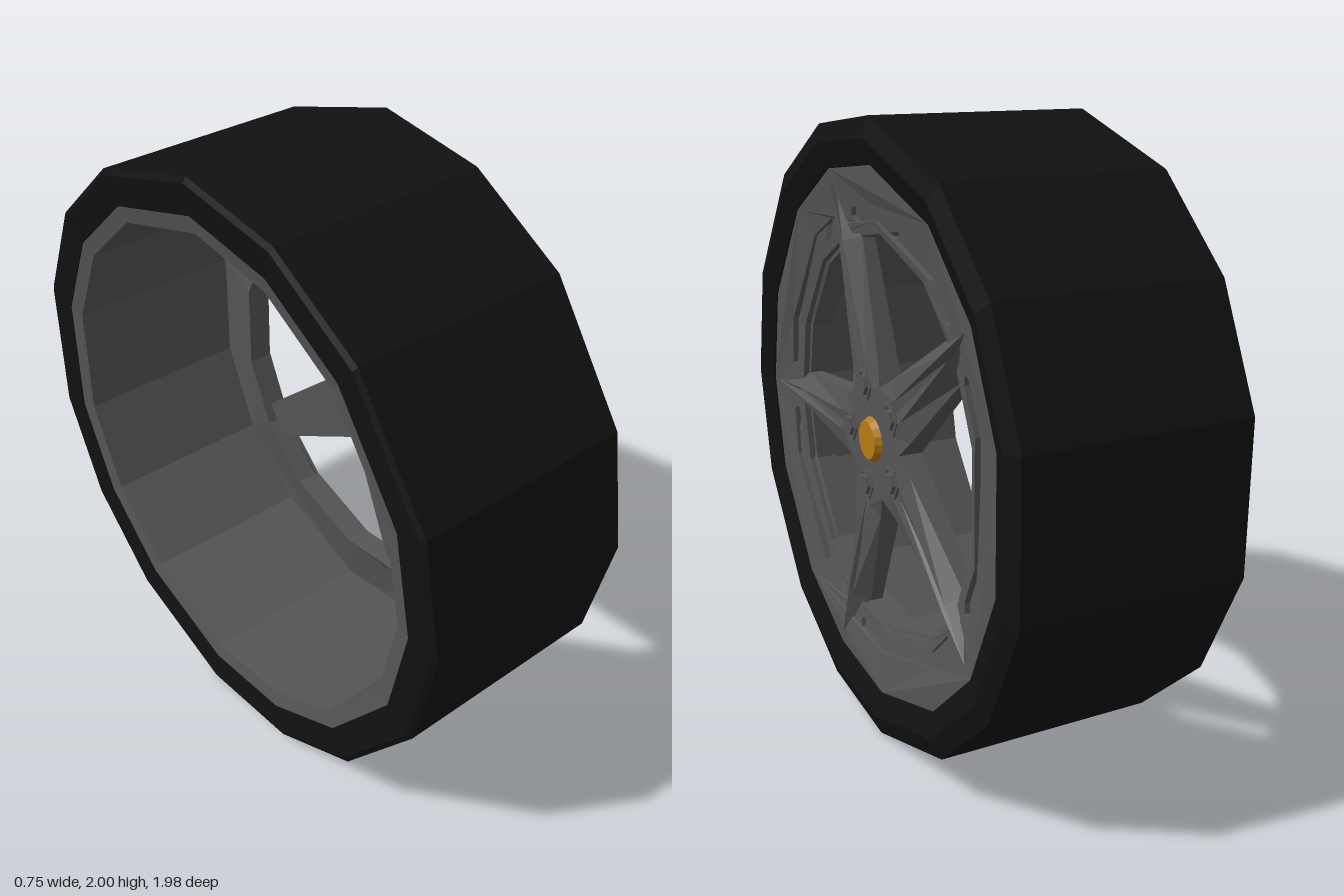
import * as THREE from 'three';

const DEG = Math.PI / 180;
const paint = (color) => new THREE.MeshStandardMaterial({ color, flatShading: true });
const rubber = paint(0x111111), metal = paint(0x555555), gold = paint(0xb87a14);

// Five spokes; the rim has one corner at each spoke and one either side of it
const spokeAngles = [0, 1, 2, 3, 4].map((k) => 180 + 72 * k);
const rimAngles = spokeAngles.flatMap((a) => [a, a + 22.4, a + 49.6]);

const polar = (r, deg) => new THREE.Vector2(r * Math.cos(deg * DEG), r * Math.sin(deg * DEG));
const polygon = (r, angles) => angles.map((a) => polar(r, a));
const hexAngles = [0, 60, 120, 180, 240, 300];

// Skin over closed cross-sections, optionally joining the last to the first
function loft(sections, closed) {
  const n = sections[0].length, m = sections.length, index = [];
  for (let i = 0; i < (closed ? m : m - 1); i++) {
    for (let j = 0; j < n; j++) {
      const i2 = (i + 1) % m, j2 = (j + 1) % n;
      const a = i * n + j, b = i2 * n + j, c = i2 * n + j2, d = i * n + j2;
      index.push(a, b, d, b, c, d);
    }
  }
  const g = new THREE.BufferGeometry();
  g.setAttribute('position', new THREE.Float32BufferAttribute(sections.flat(2), 3));
  g.setIndex(index);
  g.computeVertexNormals();
  return g;
}

// Profile of [radius, depth] swept round the rim corners
const sweep = (profile) => loft(rimAngles.map((a) => profile.map(([r, z]) => {
  const p = polar(r, a);
  return [p.x, p.y, z];
})), true);

// Flat plate between two depths, with holes
function plate(outline, holes, z0, z1) {
  const shape = new THREE.Shape(outline);
  shape.holes = holes.map((h) => new THREE.Path(h));
  return new THREE.ExtrudeGeometry(shape, { depth: z1 - z0, bevelEnabled: false }).translate(0, 0, z0);
}

// Sink a plate towards the hub to make a shallow dish
function dish(g) {
  const p = g.attributes.position;
  for (let i = 0; i < p.count; i++) {
    p.setZ(i, p.getZ(i) - (0.86 - Math.hypot(p.getX(i), p.getY(i))) * 0.15);
  }
  g.computeVertexNormals();
  return g;
}

export function createModel() {
  const model = new THREE.Group();
  model.name = 'wheel';
  const add = (name, geometry, material, parent = model) => {
    const mesh = new THREE.Mesh(geometry, material);
    mesh.name = name;
    parent.add(mesh);
    return mesh;
  };

  // Tyre and the barrel inside it
  add('tyre', sweep([[0.985, -0.38], [1.003, -0.37], [1.003, 0.355], [0.94, 0.375],
    [0.862, 0.35], [0.862, 0.3], [0.886, -0.372]]), rubber);
  add('barrel', sweep([[0.884, -0.37], [0.861, 0.345], [0.83, 0.325], [0.83, -0.36]]), metal);

  // Rim face with a sunken slot between each pair of spokes
  const slots = spokeAngles.map((a) => [
    [0.7, 6], [0.725, 7], [0.738, 20], [0.738, 52], [0.725, 65],
    [0.7, 66], [0.68, 64], [0.69, 52], [0.69, 20], [0.68, 8],
  ].map(([r, t]) => polar(r, a + t)));
  add('rimFace', dish(plate(polygon(0.861, rimAngles),
    [polygon(0.655, rimAngles), ...slots], 0.325, 0.345)), metal);
  add('rimBacking', dish(plate(polygon(0.85, rimAngles),
    [polygon(0.642, rimAngles)], 0.25, 0.325)), metal);

  // Hub
  add('hub', plate(polygon(0.192, spokeAngles.map((a) => a + 36)), [], 0.25, 0.33), metal);
  const cap = new THREE.CylinderGeometry(0.062, 0.077, 0.026, 16).rotateX(Math.PI / 2);
  add('hubCap', cap.translate(0, 0, 0.338), gold);

  // Spokes: radius, half width, ridge half width, edge, ridge top, groove depth, back
  const stations = [
    [0.155, 0.113, 0.05, 0.33, 0.33, 0, 0.25],
    [0.235, 0.104, 0.034, 0.318, 0.332, 0.006, 0.25],
    [0.63, 0.066, 0.016, 0.292, 0.34, 0.02, 0.25],
    [0.81, 0.004, 0.002, 0.33, 0.348, 0.004, 0.31],
  ];
  const spoke = loft(stations.map(([r, w, g, edge, top, groove, back]) => [
    [r, -w, back], [r, -w, edge], [r, -g, top], [r, 0, top - groove],
    [r, g, top], [r, w, edge], [r, w, back],
  ]), false);

  // Wheel nuts, each in a hexagonal collar
  const collar = plate(polygon(0.053, hexAngles), [polygon(0.042, hexAngles)], 0.325, 0.336);
  const nut = plate(polygon(0.034, hexAngles), [], 0.325, 0.344);
  for (const a of spokeAngles) {
    add('spoke', spoke, metal).rotation.z = a * DEG;
    const bolt = new THREE.Group();
    bolt.name = 'wheelNut';
    const p = polar(0.174, a);
    bolt.position.set(p.x, p.y, 0);
    add('nutCollar', collar, metal, bolt);
    add('nut', nut, metal, bolt);
    model.add(bolt);
  }

  // Turn the axle onto x and stand the tyre on the floor
  model.rotation.y = Math.PI / 2;
  model.position.set(0, 1, -0.014);
  const root = new THREE.Group();
  root.add(model);
  return root;
}
